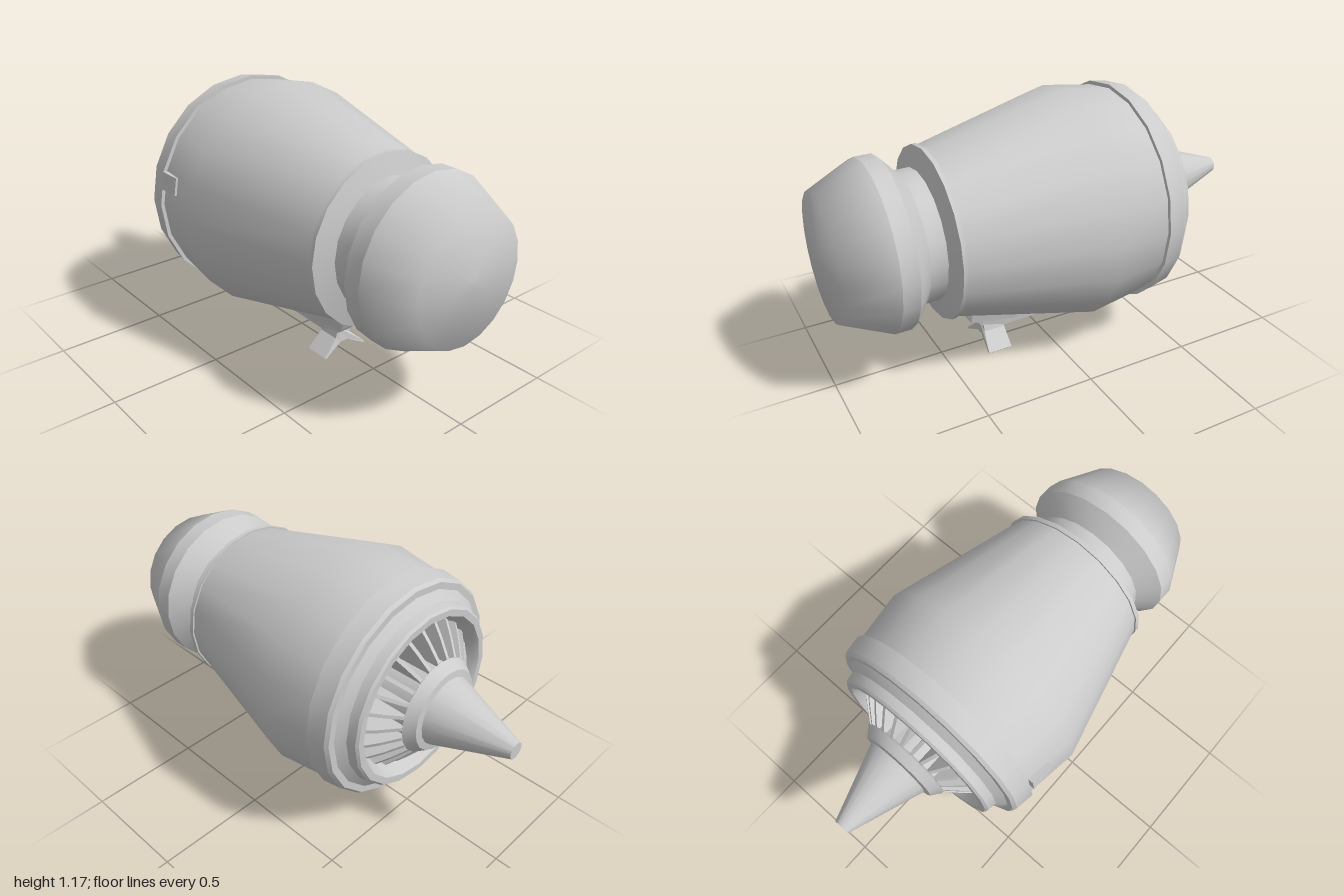
import * as THREE from 'three';
import { toCreasedNormals } from 'three/addons/utils/BufferGeometryUtils.js';

const AXIS = 0.635, SIDES = 20;
const mat = new THREE.MeshStandardMaterial({ color: 0xcccccc });
const matDouble = new THREE.MeshStandardMaterial({ color: 0xcccccc, side: THREE.DoubleSide });

// Revolve [x, radius] points around the long x axis
function revolve(points, crease) {
  const g = new THREE.LatheGeometry(points.map(([x, r]) => new THREE.Vector2(r, x)), SIDES);
  g.rotateZ(-Math.PI / 2);
  return crease ? toCreasedNormals(g, crease) : g;
}

// Drop the triangles of a non-indexed geometry that pass a test on their centroid
function cutAway(g, test) {
  const keep = [], p = g.attributes.position, a = new THREE.Vector3(), c = new THREE.Vector3();
  for (let i = 0; i < p.count; i += 3) {
    c.set(0, 0, 0);
    for (let k = 0; k < 3; k++) c.add(a.fromBufferAttribute(p, i + k));
    if (!test(c.divideScalar(3))) keep.push(i, i + 1, i + 2);
  }
  g.setIndex(keep);
  return g;
}

// Flat-shaded solid from [x, ring of [z, y]] sections, rings running from +y towards +z
function loft(sections) {
  const n = sections[0][1].length, pos = [], idx = [];
  for (const [x, ring] of sections) for (const [z, y] of ring) pos.push(x, y, z);
  for (let s = 0; s < sections.length - 1; s++) {
    for (let i = 0; i < n; i++) {
      const a = s * n + i, b = s * n + (i + 1) % n;
      idx.push(a, b, a + n, b, b + n, a + n);
    }
  }
  const e = (sections.length - 1) * n;
  for (let i = 1; i < n - 1; i++) idx.push(0, i + 1, i, e, e + i, e + i + 1);
  return flat(pos, idx);
}

function flat(pos, idx) {
  const g = new THREE.BufferGeometry();
  g.setAttribute('position', new THREE.Float32BufferAttribute(pos, 3));
  g.setIndex(idx);
  const out = g.toNonIndexed();
  out.computeVertexNormals();
  return out;
}

export function createModel() {
  const model = new THREE.Group();
  const add = (name, geometry, parent = model, material = mat) => {
    const m = new THREE.Mesh(geometry, material);
    m.name = name;
    parent.add(m);
    return m;
  };

  const engine = new THREE.Group();
  engine.name = 'engineBody';
  engine.position.y = AXIS;
  model.add(engine);

  // Main casing with stepped exhaust rim, open along its two lowest facets
  const casing = revolve([
    [-0.45, 0.1], [-0.45, 0.33], [-0.53, 0.36], [-0.55, 0.375], [-0.55, 0.405], [-0.54, 0.415],
    [-0.5, 0.422], [-0.47, 0.46], [-0.47, 0.49], [-0.455, 0.502], [-0.37, 0.515], [-0.37, 0.498],
    [-0.125, 0.531], [0.51, 0.375], [0.51, 0.383], [0.53, 0.383], [0.555, 0.29],
    [0.63, 0.29], [0.705, 0.376], [0.78, 0.376],
  ], 0.5);
  add('casing', cutAway(casing, c => c.x > -0.1 && c.x < 0.5 && c.y < 0
    && Math.abs(c.z) < -c.y * Math.tan(Math.PI / 10)), engine);

  // Softly rounded nose
  add('nose', revolve([[0.78, 0.376], [0.983, 0.28], [1, 0]]), engine);

  // Exhaust cone and the collar it grows from
  add('exhaustCone', revolve([[-1, 0], [-1, 0.037], [-0.66, 0.155]], 0.5), engine);
  add('coneCollar', revolve([[-0.66, 0.15], [-0.655, 0.185], [-0.61, 0.218], [-0.6, 0.2], [-0.45, 0.2]], 0.6), engine);

  // Ring of turbine vanes
  const vaneShape = new THREE.Shape([
    [-0.605, 0.19], [-0.605, 0.215], [-0.55, 0.285], [-0.5, 0.34], [-0.44, 0.34], [-0.44, 0.19],
  ].map(([x, y]) => new THREE.Vector2(x, y)));
  const vaneGeo = new THREE.ExtrudeGeometry(vaneShape, { depth: 0.016, bevelEnabled: false });
  vaneGeo.translate(0, 0, -0.008);
  for (let i = 0; i < 24; i++) add('turbineVane', vaneGeo, engine).rotation.x = (i / 24) * Math.PI * 2;

  // Small hatch block on the front side
  const hatch = add('sideHatch', new THREE.BoxGeometry(0.11, 0.08, 0.04), engine);
  hatch.position.set(-0.305, 0.118, 0.486);
  hatch.rotation.x = -0.16;

  // Recessed bay in the underside: rim follows the missing facets, floor sits inside
  const rim = (x, r) => {
    const z = r * Math.sin(Math.PI / 10), y = AXIS - r * Math.cos(Math.PI / 10);
    return [x, y, z, x, AXIS - r, 0, x, y, -z];
  };
  const bay = [
    ...rim(-0.125, 0.531), ...rim(0.51, 0.375),
    -0.085, 0.17, 0.14, -0.085, 0.17, 0, -0.085, 0.17, -0.14,
    0.48, 0.305, 0.1, 0.48, 0.305, 0, 0.48, 0.305, -0.1,
  ];
  const quads = [[0, 1, 7, 6], [1, 2, 8, 7], [4, 3, 9, 10], [5, 4, 10, 11],
    [3, 0, 6, 9], [2, 5, 11, 8], [6, 7, 10, 9], [7, 8, 11, 10]];
  add('undersideBay', flat(bay, quads.flatMap(([a, b, c, d]) => [a, b, c, a, c, d])), model, matDouble);

  // Pod hanging in the bay
  const podRing = (top, side, low, bottom, w) =>
    [[0, top], [w, side], [w * 0.9, low], [0, bottom], [-w * 0.9, low], [-w, side]];
  add('pod', loft([
    [-0.055, podRing(0.19, 0.165, 0.14, 0.13, 0.06)],
    [0.15, podRing(0.25, 0.19, 0.135, 0.125, 0.1)],
    [0.38, podRing(0.295, 0.225, 0.175, 0.17, 0.1)],
    [0.41, podRing(0.3, 0.25, 0.235, 0.23, 0.09)],
  ]));

  // Keel below the pod, tapering to a point
  const keelRing = (top, bottom, w) => [[0, top], [w, top], [w * 0.85, bottom], [-w * 0.85, bottom], [-w, top]];
  add('keel', loft([
    [-0.055, keelRing(0.16, 0.135, 0.045)],
    [-0.02, keelRing(0.17, 0.085, 0.05)],
    [0.2, keelRing(0.17, 0.08, 0.05)],
    [0.3, keelRing(0.19, 0.1, 0.04)],
    [0.385, keelRing(0.2, 0.175, 0.008)],
  ]));

  // Splayed pair of fins at the bottom
  const half = [[0.03, 0.125], [0.045, 0.075], [0.12, 0.005], [0.115, 0], [0.02, 0.05]];
  const finRing = [...half, ...half.map(([z, y]) => [-z, y]).reverse()];
  const finShape = new THREE.Shape(finRing.map(([z, y]) => new THREE.Vector2(z, y)));
  const fins = new THREE.ExtrudeGeometry(finShape, { depth: 0.1, bevelEnabled: false });
  fins.rotateY(Math.PI / 2);
  const p = fins.attributes.position;
  for (let i = 0; i < p.count; i++) {
    // trailing edge sweeps back towards the tips
    if (p.getX(i) > 0.05) p.setX(i, p.getX(i) + Math.max(0, 0.08 - p.getY(i)) * 0.2);
  }
  fins.translate(0.197, 0, 0);
  fins.computeVertexNormals();
  add('fins', fins);

  return model;
}
